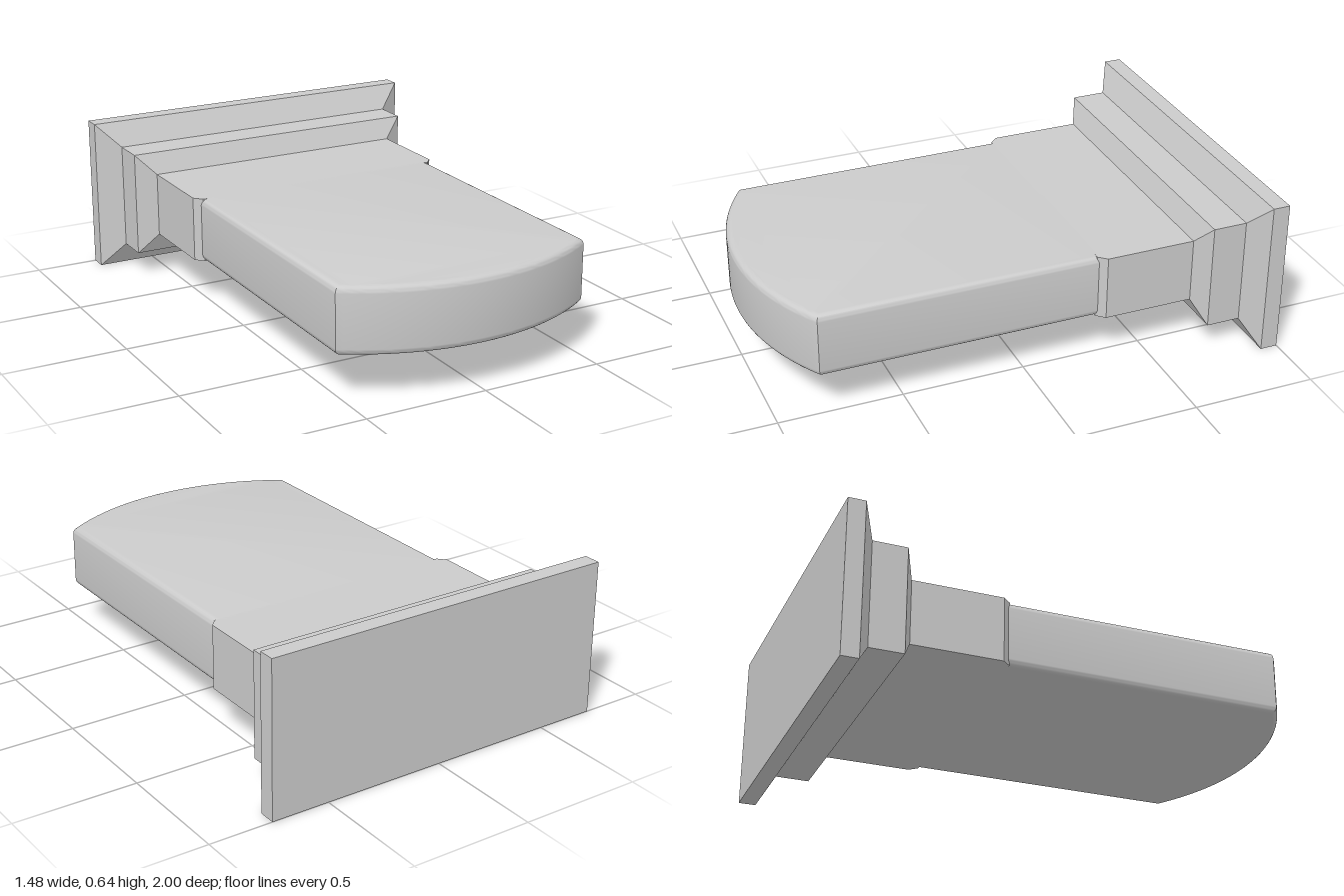
import * as THREE from 'three';
import { toCreasedNormals } from 'three/addons/utils/BufferGeometryUtils.js';

const MID_Y = 0.318; // height of the common long axis

// Solid through rectangular sections [z, halfWidth, halfHeight], back to front
function rectLoft(sections) {
  const pos = [];
  const rings = sections.map(([z, w, h]) => [[-w, -h, z], [w, -h, z], [w, h, z], [-w, h, z]]);
  const quad = (a, b, c, d) => pos.push(...a, ...b, ...c, ...a, ...c, ...d);
  for (let i = 0; i < rings.length - 1; i++) {
    for (let k = 0; k < 4; k++) {
      const n = (k + 1) % 4;
      quad(rings[i][k], rings[i][n], rings[i + 1][n], rings[i + 1][k]);
    }
  }
  const back = rings[0], front = rings[rings.length - 1];
  quad(back[3], back[2], back[1], back[0]);
  quad(front[0], front[1], front[2], front[3]);
  const g = new THREE.BufferGeometry();
  g.setAttribute('position', new THREE.Float32BufferAttribute(pos, 3));
  g.computeVertexNormals();
  return g;
}

// Bar with a bowed front end and rounded top and bottom edges
function bladeGeometry() {
  const half = 0.536, zBack = -0.33, zCorner = 0.837, zTip = 1, r = 0.027, thick = 0.266;
  const sag = zTip - zCorner;
  const R = (half * half + sag * sag) / (2 * sag);
  const sweep = Math.asin(half / R);
  const pts = [new THREE.Vector2(-half, zBack), new THREE.Vector2(half, zBack)];
  const n = 40;
  for (let i = 0; i <= n; i++) {
    const a = sweep * (1 - (2 * i) / n);
    pts.push(new THREE.Vector2(R * Math.sin(a), zTip - R + R * Math.cos(a)));
  }
  const depth = thick - 2 * r;
  const g = new THREE.ExtrudeGeometry(new THREE.Shape(pts), {
    depth, bevelEnabled: true, bevelThickness: r, bevelSize: r, bevelOffset: -r, bevelSegments: 6,
  });
  g.translate(0, 0, -depth / 2);
  g.rotateX(Math.PI / 2);
  return toCreasedNormals(g, 0.6);
}

export function createModel() {
  const group = new THREE.Group();
  const material = new THREE.MeshStandardMaterial({ color: 0xcccccc });
  const add = (name, geometry) => {
    const mesh = new THREE.Mesh(geometry, material);
    mesh.name = name;
    mesh.position.y = MID_Y;
    group.add(mesh);
  };

  // Stepped mounting plate, narrowing into the neck with chamfered side ends
  add('flangeAndNeck', rectLoft([
    [-1, 0.74, 0.318],
    [-0.93, 0.74, 0.318],
    [-0.874, 0.642, 0.218],
    [-0.735, 0.642, 0.218],
    [-0.693, 0.56, 0.133],
    [-0.325, 0.56, 0.133],
    [-0.292, 0.53, 0.133],
  ]));

  // Rounded bar projecting from the neck
  add('blade', bladeGeometry());

  return group;
}
